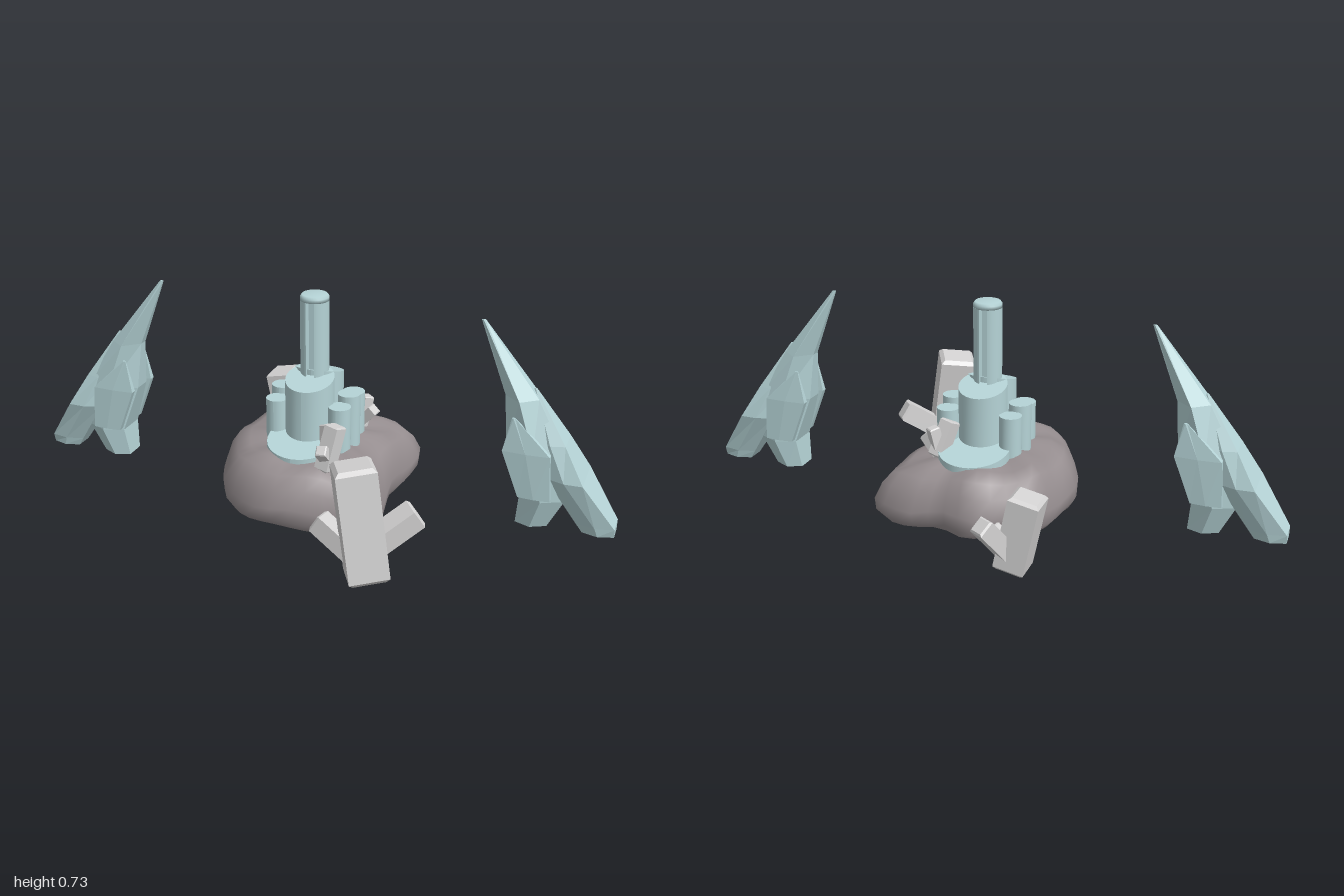
import * as THREE from 'three';

const mat = (name, color) => Object.assign(new THREE.MeshStandardMaterial({ color }), { name });

export function createModel() {
  const teal = mat('pale teal', 0xb5d3d6);
  const rock = mat('warm grey rock', 0x958d8f);
  const stone = mat('light grey crystal', 0xd4d3d3);
  const model = new THREE.Group();

  const add = (parent, name, geo, material, x = 0, y = 0, z = 0) => {
    const m = new THREE.Mesh(geo, material);
    m.name = name;
    m.position.set(x, y, z);
    parent.add(m);
    return m;
  };

  // Skin over rings of [x, y, z] points, lowest ring first, closed by caps
  function loft(rings, flat) {
    const n = rings[0].length, pos = rings.flat(2), idx = [];
    for (let r = 0; r < rings.length - 1; r++)
      for (let i = 0; i < n; i++) {
        const a = r * n + i, b = r * n + (i + 1) % n;
        idx.push(a, a + n, b, b, a + n, b + n);
      }
    [rings[0], rings[rings.length - 1]].forEach((ring, top) => {
      const base = pos.length / 3, c = [0, 0, 0];
      ring.forEach(p => { pos.push(...p); p.forEach((v, k) => { c[k] += v / n; }); });
      pos.push(...c);
      for (let i = 0; i < n; i++) {
        const a = base + i, b = base + (i + 1) % n;
        idx.push(base + n, ...(top ? [b, a] : [a, b]));
      }
    });
    let g = new THREE.BufferGeometry();
    g.setAttribute('position', new THREE.Float32BufferAttribute(pos, 3));
    g.setIndex(idx);
    if (flat) g = g.toNonIndexed();
    g.computeVertexNormals();
    return g;
  }

  // Angular blade; rows are [y, inner x, outer x, inner, middle and outer half-depth]
  const blade = rows => loft(rows.map(([y, xi, xo, zi, zm, zo]) => {
    const xm = (xi + xo) / 2;
    return [[xo, y, -zo], [xo, y, zo], [xm, y, zm], [xi, y, zi], [xi, y, -zi], [xm, y, -zm]];
  }), true);

  // Side spires: a tall inner blade, a forked outer blade and small shards
  const innerBlade = blade([
    [0.06, 0.69, 0.79, 0.035, 0.055, 0.03],
    [0.16, 0.70, 0.84, 0.05, 0.075, 0.04],
    [0.32, 0.645, 0.83, 0.03, 0.08, 0.05],
    [0.48, 0.63, 0.735, 0.015, 0.062, 0.02],
    [0.71, 0.54, 0.552, 0.002, 0.004, 0.002]]);
  const outerBlade = blade([
    [0.06, 0.90, 1.0, 0.03, 0.045, 0.03],
    [0.09, 0.88, 1.0, 0.035, 0.05, 0.038],
    [0.24, 0.78, 0.896, 0.06, 0.08, 0.078],
    [0.35, 0.74, 0.83, 0.04, 0.06, 0.048],
    [0.51, 0.715, 0.722, 0.002, 0.003, 0.002]]);
  const shard = blade([
    [0.17, 0.70, 0.80, 0.01, 0.014, 0.01],
    [0.32, 0.642, 0.79, 0.01, 0.014, 0.01],
    [0.43, 0.665, 0.675, 0.002, 0.004, 0.002]]);
  for (const side of [1, -1]) {
    const spire = new THREE.Group();
    spire.name = side > 0 ? 'leftSpire' : 'rightSpire';
    add(spire, 'innerBlade', innerBlade, teal);
    add(spire, 'outerBlade', outerBlade, teal);
    for (const z of [-0.068, 0.068]) add(spire, 'shard', shard, teal, 0, 0, z);
    spire.rotation.y = side > 0 ? 0 : Math.PI;
    spire.position.z = 0.005;
    model.add(spire);
  }

  // Rock mound, rounded on top and flat underneath
  const outline = new THREE.CatmullRomCurve3([
    [0.27, 0], [0.295, 0.27], [0.14, 0.315], [-0.05, 0.345], [-0.21, 0.265], [-0.285, 0.12],
    [-0.31, 0], [-0.285, -0.14], [-0.235, -0.245], [-0.065, -0.335], [0.05, -0.31], [0.14, -0.325], [0.295, -0.26],
  ].map(([x, z]) => new THREE.Vector3(x, 0, z)), true, 'catmullrom', 0.35).getSpacedPoints(40).slice(0, 40);
  const levels = [[0.05, 0.93], [0.075, 0.99], [0.12, 1], [0.18, 0.93], [0.22, 0.84], [0.24, 0.7], [0.25, 0.4]];
  add(model, 'rockMound', loft(levels.map(([y, s], r) => outline.map((p, i) => {
    const wobble = 0.007 * Math.sin(i * 1.26 + r * 0.8);
    return [p.x * s, y + wobble - (p.x > 0 ? p.x * s * y * 0.45 : 0), p.z * s];
  }))), rock);

  // Upright column whose top slants up towards the middle of the tower
  function column(name, r, bottom, top, x, z, slope = 0) {
    const g = new THREE.CylinderGeometry(r, r, top - bottom, 32);
    const p = g.attributes.position;
    for (let i = 0; i < p.count; i++)
      if (p.getY(i) > 0) p.setY(i, p.getY(i) - slope * p.getZ(i));
    g.computeVertexNormals();
    add(tower, name, g, teal, x, (top + bottom) / 2, z);
  }
  const tower = new THREE.Group();
  tower.name = 'tower';
  model.add(tower);
  for (const s of [1, -1]) {
    column('baseLobe', 0.118, 0.025, 0.272, 0, s * 0.115, s * 0.2);
    column('middleLobe', 0.08, 0.2, 0.46, 0, 0.01 + s * 0.045, s * 0.27);
    for (const z of [-0.07, 0, 0.07])
      column('sideColumn', 0.037, 0.2, z ? 0.38 : 0.4, s * (z ? 0.108 : 0.116), z);
  }

  // Central pole, grooved at front and back, under a round cap
  const section = new THREE.Shape();
  const R = 0.047, notch = 0.3;
  section.absarc(0, 0, R, -Math.PI / 2 + notch, Math.PI / 2 - notch, false);
  section.lineTo(0.013, 0.02);
  section.lineTo(-0.013, 0.02);
  section.absarc(0, 0, R, Math.PI / 2 + notch, Math.PI * 1.5 - notch, false);
  section.lineTo(-0.013, -0.02);
  section.lineTo(0.013, -0.02);
  const pole = new THREE.ExtrudeGeometry(section, { depth: 0.51, bevelEnabled: false, curveSegments: 20 });
  add(tower, 'groovedPole', pole.rotateX(-Math.PI / 2), teal, 0, 0.2, 0.01);
  const cap = [[0, 0], [R, 0], [R, 0.012], [R - 0.006, 0.02], [0, 0.02]].map(p => new THREE.Vector2(...p));
  add(tower, 'poleCap', new THREE.LatheGeometry(cap, 32), teal, 0, 0.71, 0.01);

  // Chamfered square crystal running from a to b
  function crystal(parent, a, b, w, twist) {
    const from = new THREE.Vector3(...a), to = new THREE.Vector3(...b);
    const c = w * 0.1, h = w / 2 - c;
    const square = new THREE.Shape([[-h, -h], [h, -h], [h, h], [-h, h]].map(p => new THREE.Vector2(...p)));
    const g = new THREE.ExtrudeGeometry(square, {
      depth: from.distanceTo(to) - 2 * c, bevelSize: c, bevelThickness: c, bevelSegments: 1,
    });
    g.translate(0, 0, c).rotateZ(twist);
    add(parent, 'crystal', g, stone, ...a).lookAt(to);
  }
  // Each cluster lists [start, end, width, twist]
  const clusters = {
    frontCrystals: [
      [[0.335, 0.015, 0.455], [0.28, 0.375, 0.44], 0.125, 0.75],
      [[0.30, 0.07, 0.415], [0.445, 0.185, 0.315], 0.07, 0.1],
      [[0.31, 0.055, 0.43], [0.155, 0.148, 0.40], 0.06, 0.1]],
    backCrystals: [
      [[-0.235, 0.03, -0.41], [-0.285, 0.275, -0.41], 0.098, 0],
      [[-0.225, 0.08, -0.42], [-0.17, 0.205, -0.51], 0.055, 0],
      [[-0.235, 0.08, -0.415], [-0.165, 0.15, -0.405], 0.04, 0]],
    frontMoundCrystals: [
      [[0.11, 0.22, 0.215], [0.135, 0.365, 0.18], 0.05, 0.3],
      [[0.12, 0.23, 0.18], [0.11, 0.305, 0.25], 0.035, 0.2],
      [[0.11, 0.22, 0.17], [0.09, 0.34, 0.13], 0.04, 0.5]],
    backMoundCrystals: [
      [[0.115, 0.235, -0.15], [0.085, 0.35, -0.105], 0.048, 0.3],
      [[0.11, 0.22, -0.135], [0.13, 0.335, -0.15], 0.035, 0.2],
      [[0.11, 0.24, -0.14], [0.165, 0.3, -0.125], 0.035, 0.1]],
  };
  for (const [name, list] of Object.entries(clusters)) {
    const cluster = new THREE.Group();
    cluster.name = name;
    list.forEach(args => crystal(cluster, ...args));
    model.add(cluster);
  }
  return model;
}
